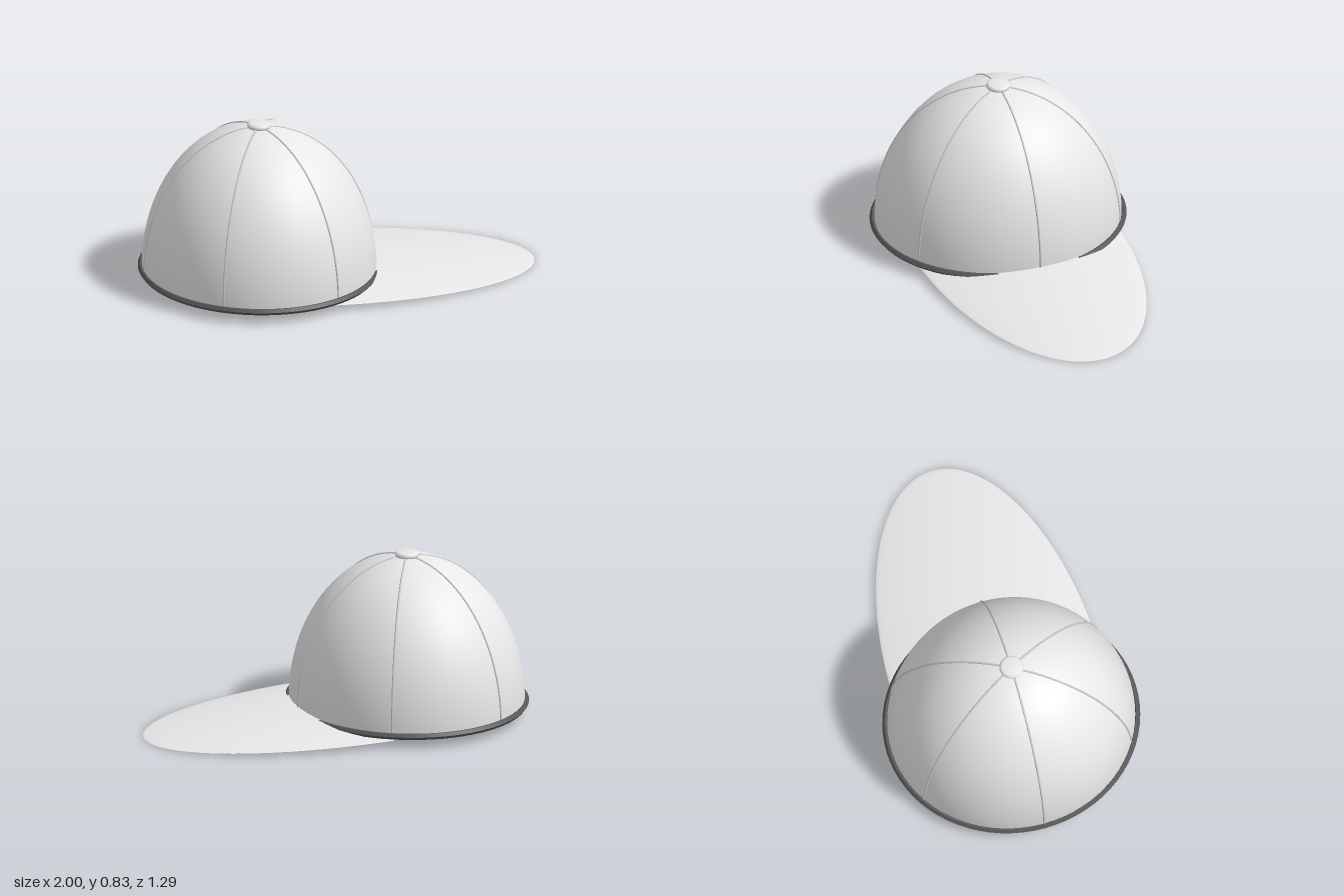
import * as THREE from 'three';
import { toCreasedNormals } from 'three/addons/utils/BufferGeometryUtils.js';

const CX = -0.396;                        // crown centre
const RX = 0.584, RZ = 0.622;             // crown radii
const BASE = 0.065, HEIGHT = 0.749;       // crown base and height

function material(name, color, side = THREE.FrontSide) {
  const m = new THREE.MeshStandardMaterial({ color, side });
  m.name = name;
  return m;
}

function add(group, name, geometry, mat) {
  const mesh = new THREE.Mesh(geometry, mat);
  mesh.name = name;
  group.add(mesh);
  return mesh;
}

// Arched brim: lens-shaped cross-sections swept across z, notched at the back
function brimGeometry() {
  const x0 = -0.12, a = 1.12, b = 0.53, rows = 120, cols = 28, ring = 2 * (cols + 1);
  const pos = [], index = [];
  const height = (x, z, side) => {
    const t = (x - x0) / a;
    const w = Math.max(0, 1 - t * t - (z / b) ** 2);
    return 0.0355 - 0.03 * t + 0.055 * w + side * 0.0105 * Math.sqrt(w);
  };
  for (let j = 0; j <= rows; j++) {
    const s = 0.9999 * Math.sin((j / rows - 0.5) * Math.PI);
    const z = b * s;
    const front = x0 + a * Math.sqrt(1 - s * s);
    const notch = Math.sqrt(Math.max(0, 1 - (z / 0.115) ** 2));
    const back = x0 - 0.01 * (1 - s * s) + 0.15 * notch;
    for (let k = 0; k < ring; k++) {
      const top = k <= cols;
      const u = (top ? k : ring - 1 - k) / cols;
      const x = back + (front - back) * Math.sin(u * Math.PI / 2);
      pos.push(x, height(x, z, top ? 1 : -1), z);
    }
  }
  for (let j = 0; j < rows; j++) {
    for (let k = 0; k < ring; k++) {
      const n = (k + 1) % ring, p = j * ring, q = p + ring;
      index.push(p + k, q + k, p + n, q + k, q + n, p + n);
    }
  }
  const g = new THREE.BufferGeometry();
  g.setAttribute('position', new THREE.Float32BufferAttribute(pos, 3));
  g.setIndex(index);
  return toCreasedNormals(g, 0.9);
}

export function createModel() {
  const cap = new THREE.Group();
  cap.name = 'cap';
  const fabric = material('off-white fabric', 0xececec, THREE.DoubleSide);
  const stitch = material('seam grey', 0xc8c8c8);
  const trim = material('dark trim', 0x585858);

  // Crown: thin open half ellipsoid
  const crown = new THREE.SphereGeometry(1, 72, 28, 0, Math.PI * 2, 0, Math.PI / 2);
  crown.scale(RX, HEIGHT, RZ).translate(CX, BASE, 0);
  add(cap, 'crown', crown, fabric);

  // Six seams running from the button down to the band
  for (let i = 0; i < 6; i++) {
    const angle = i * Math.PI / 3;
    const points = [];
    for (let k = 0; k <= 16; k++) {
      const p = 0.05 + (Math.PI / 2 - 0.05) * k / 16;
      points.push(new THREE.Vector3(
        CX + RX * Math.sin(p) * Math.cos(angle),
        BASE + HEIGHT * Math.cos(p),
        RZ * Math.sin(p) * Math.sin(angle)));
    }
    const path = new THREE.CatmullRomCurve3(points);
    add(cap, 'seam' + (i + 1), new THREE.TubeGeometry(path, 40, 0.005, 8), stitch);
  }

  // Band around the opening, with a pointed outer edge
  const profile = [[0.955, 0.065], [0.967, 0.05], [0.982, 0.05], [1, 0.065],
    [0.982, 0.08], [0.967, 0.08], [0.955, 0.065]];
  const band = new THREE.LatheGeometry(profile.map(([r, y]) => new THREE.Vector2(r, y)), 72);
  band.scale(0.604, 1, 0.647).translate(CX, 0, 0);
  add(cap, 'band', toCreasedNormals(band, 0.5), trim);

  // Button on top
  const knob = [[0, 0.805], [0.05, 0.805], [0.058, 0.812], [0.06, 0.82],
    [0.056, 0.83], [0.046, 0.835], [0, 0.837]];
  const button = new THREE.LatheGeometry(knob.map(([r, y]) => new THREE.Vector2(r, y)), 32);
  add(cap, 'button', button.translate(CX, 0, 0), fabric);

  add(cap, 'brim', brimGeometry(), fabric);
  return cap;
}
